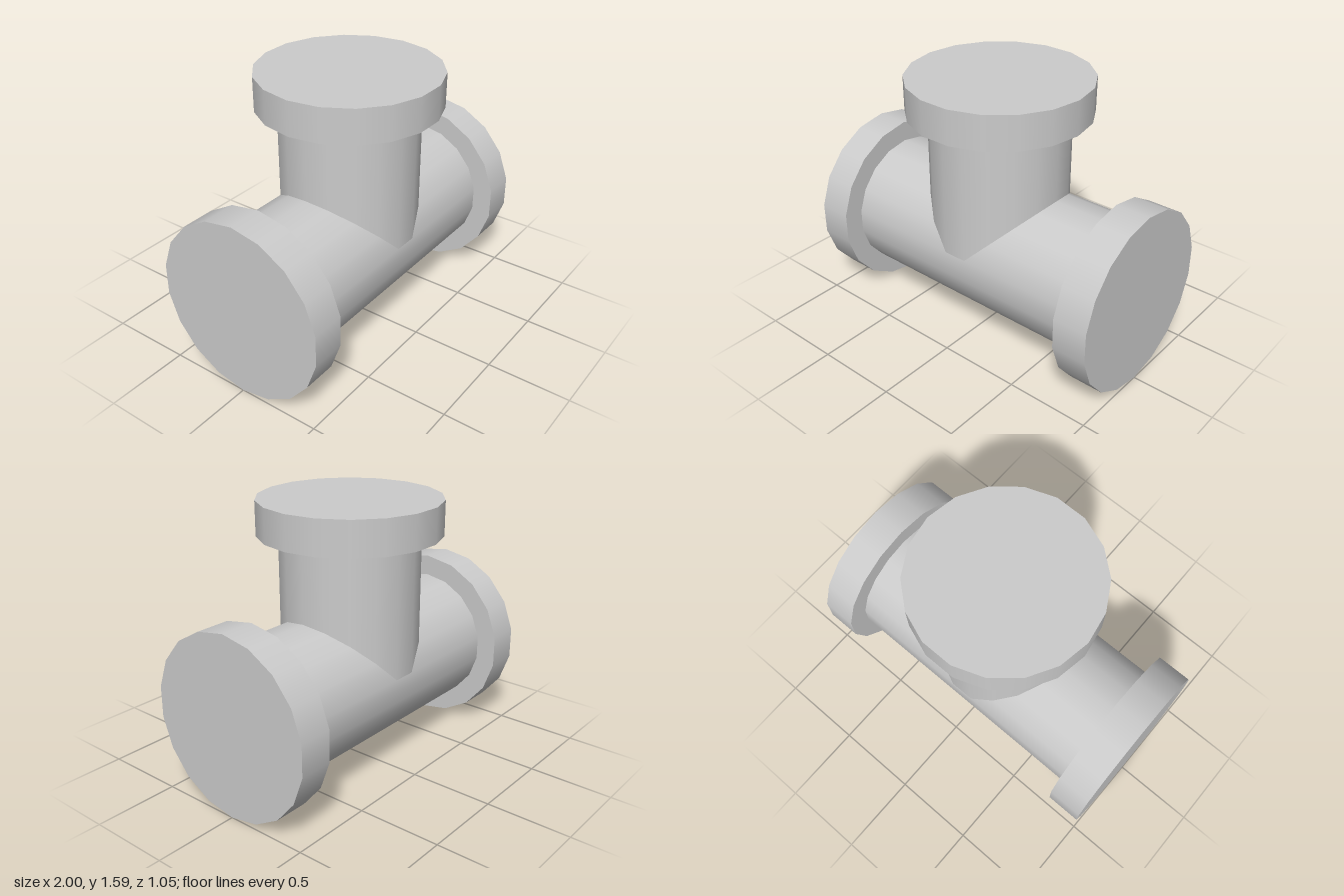
import * as THREE from 'three';

const SIDES = 18;
const AXIS_Y = 0.537;      // height of the main pipe's centre line
const BRANCH_X = -0.004;   // slight offset of the branch
const PIPE_R = 0.41;
const FLANGE_R = 0.535;
const material = new THREE.MeshStandardMaterial({ color: 0xcccccc });

// Upright cylinder between two heights, with corners on the +x and -x sides
function cylinder(name, radius, from, to, open = false) {
  const geometry = new THREE.CylinderGeometry(radius, radius, to - from, SIDES, 1, open, Math.PI / 2);
  geometry.translate(0, (from + to) / 2, 0);
  const mesh = new THREE.Mesh(geometry, material);
  mesh.name = name;
  return mesh;
}

export function createModel() {
  const model = new THREE.Group();
  model.name = 'pipeTee';

  // Main pipe with a flange at each end, laid along x
  const run = new THREE.Group();
  run.name = 'mainRun';
  run.add(
    cylinder('mainPipe', PIPE_R, -0.8, 0.8, true),
    cylinder('leftFlange', FLANGE_R, -1, -0.795),
    cylinder('rightFlange', FLANGE_R, 0.795, 1)
  );
  run.rotation.z = Math.PI / 2;
  run.position.y = AXIS_Y;
  model.add(run);

  // Upright branch, its lower rim mitred into the main pipe
  const branch = new THREE.Group();
  branch.name = 'branch';
  const branchPipe = cylinder('branchPipe', PIPE_R, AXIS_Y, 1.4, true);
  const p = branchPipe.geometry.attributes.position;
  for (let i = 0; i < p.count; i++) {
    if (p.getY(i) < 1) p.setY(i, AXIS_Y + Math.abs(p.getX(i)));
  }
  branch.add(branchPipe, cylinder('topFlange', FLANGE_R, 1.39, 1.595));
  branch.position.x = BRANCH_X;
  model.add(branch);

  return model;
}
